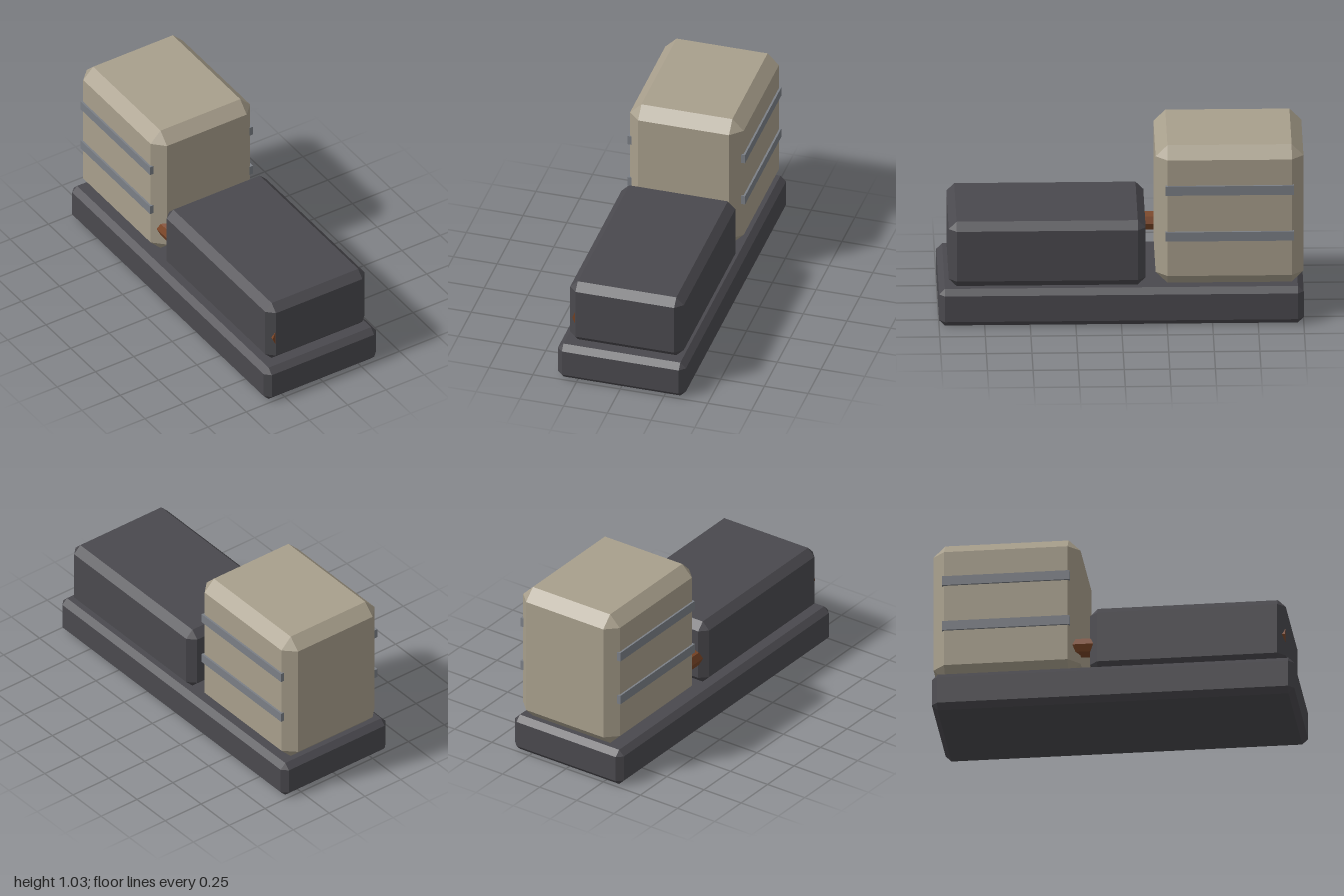
import * as THREE from 'three';
import { ConvexGeometry } from 'three/addons/geometries/ConvexGeometry.js';

function material(name, color) {
  const m = new THREE.MeshStandardMaterial({ color, flatShading: true });
  m.name = name;
  return m;
}

// Box with every edge and corner cut off by c, given as [min, max] per axis
function chamferBox([x0, x1], [y0, y1], [z0, z1], c) {
  const half = [(x1 - x0) / 2, (y1 - y0) / 2, (z1 - z0) / 2];
  const points = [];
  for (const sx of [-1, 1]) for (const sy of [-1, 1]) for (const sz of [-1, 1]) {
    for (let full = 0; full < 3; full++) {
      const p = half.map((h, i) => (i === full ? h : h - c));
      points.push(new THREE.Vector3(p[0] * sx, p[1] * sy, p[2] * sz));
    }
  }
  return new ConvexGeometry(points).translate((x0 + x1) / 2, (y0 + y1) / 2, (z0 + z1) / 2);
}

export function createModel() {
  const charcoal = material('charcoal', 0x4a494e);
  const tan = material('tan', 0xa89f8c);
  const steel = material('steel', 0x7b7f86);
  const copper = material('copper', 0x7a4526);

  const model = new THREE.Group();
  model.name = 'model';
  const add = (name, geometry, mat) => {
    const mesh = new THREE.Mesh(geometry, mat);
    mesh.name = name;
    model.add(mesh);
    return mesh;
  };

  // Main blocks
  add('base', chamferBox([-0.366, 0.366], [0, 0.216], [-1, 1], 0.032), charcoal);
  add('frontBlock', chamferBox([-0.315, 0.335], [0.216, 0.596], [-0.134, 0.946], 0.043), charcoal);
  add('rearBlock', chamferBox([-0.315, 0.335], [0.216, 1.029], [-1, -0.189], 0.065), tan);

  // Pipe running lengthwise through both blocks
  const z0 = -0.6, z1 = 0.944;
  const pipe = new THREE.CylinderGeometry(0.055, 0.055, z1 - z0, 8).rotateX(Math.PI / 2);
  add('pipe', pipe, copper).position.set(-0.236, 0.38, (z0 + z1) / 2);

  // Two horizontal strips on each flank of the rear block
  for (const side of [-1, 1]) {
    for (const y of [0.516, 0.787]) {
      add(side > 0 ? 'leftStrip' : 'rightStrip', new THREE.BoxGeometry(0.022, 0.054, 0.704), steel)
        .position.set(0.01 + side * 0.325, y, -0.594);
    }
  }
  return model;
}
